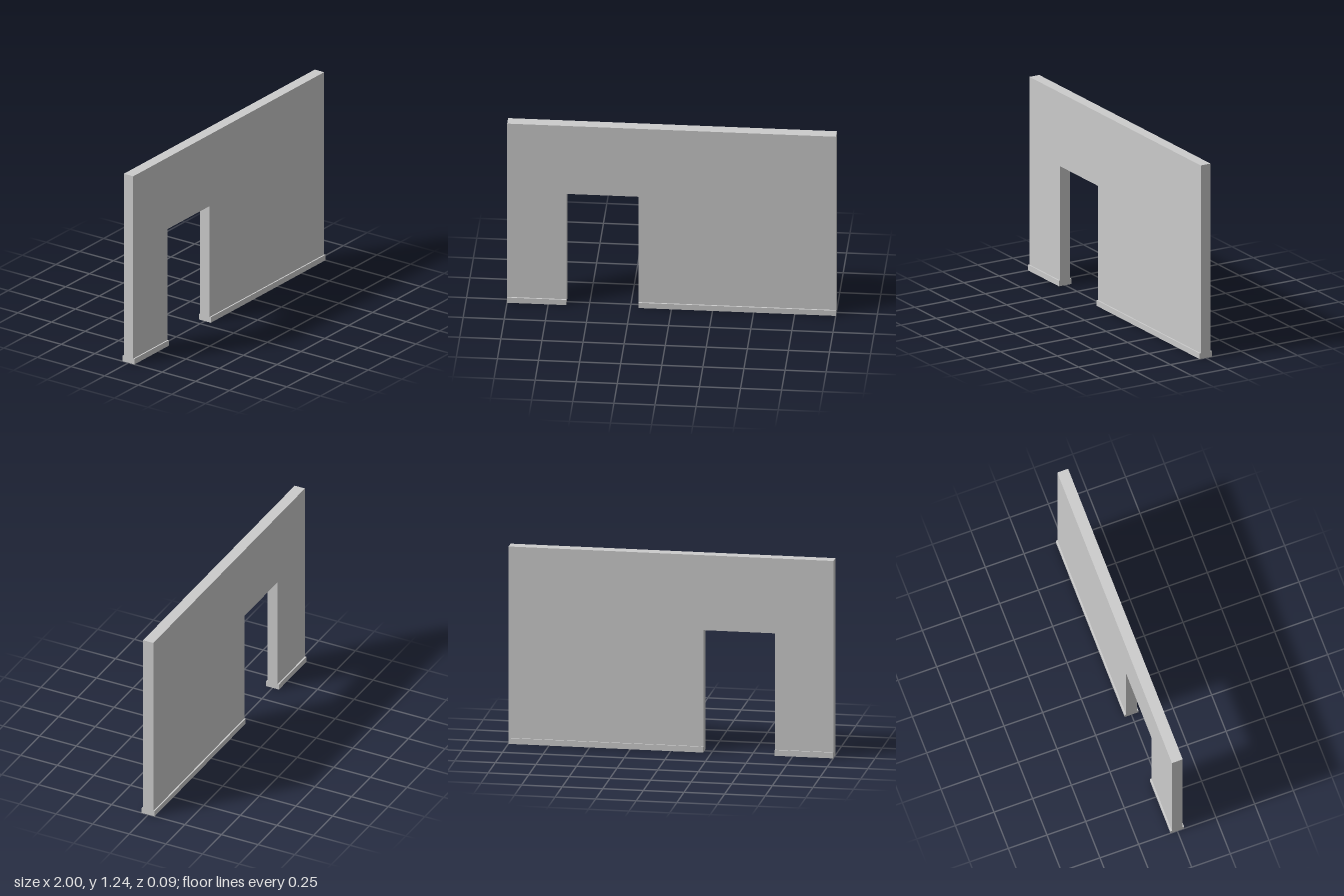
import * as THREE from 'three';

const HEIGHT = 1.235, HALF_DEPTH = 0.035;
const DOOR = { left: -0.64, right: -0.2, top: 0.765 };
const SKIRT = { height: 0.036, depth: 0.009 };

export function createModel() {
  const group = new THREE.Group();
  const material = new THREE.MeshStandardMaterial({ color: 0xcccccc });

  // Wall panel, with the doorway cut up from the floor
  const outline = new THREE.Shape([
    [-1, 0], [DOOR.left, 0], [DOOR.left, DOOR.top], [DOOR.right, DOOR.top],
    [DOOR.right, 0], [1, 0], [1, HEIGHT], [-1, HEIGHT],
  ].map(([x, y]) => new THREE.Vector2(x, y)));
  const wallGeometry = new THREE.ExtrudeGeometry(outline, { depth: HALF_DEPTH * 2, bevelEnabled: false });
  wallGeometry.translate(0, 0, -HALF_DEPTH);
  const wall = new THREE.Mesh(wallGeometry, material);
  wall.name = 'wall';
  group.add(wall);

  // Skirting boards on both faces, either side of the doorway
  for (const [name, x0, x1] of [['right', -1, DOOR.left], ['left', DOOR.right, 1]]) {
    for (const side of [1, -1]) {
      const board = new THREE.Mesh(new THREE.BoxGeometry(x1 - x0, SKIRT.height, SKIRT.depth), material);
      board.name = `${name}${side > 0 ? 'Front' : 'Back'}Skirting`;
      board.position.set((x0 + x1) / 2, SKIRT.height / 2, side * (HALF_DEPTH + SKIRT.depth / 2));
      group.add(board);
    }
  }
  return group;
}
